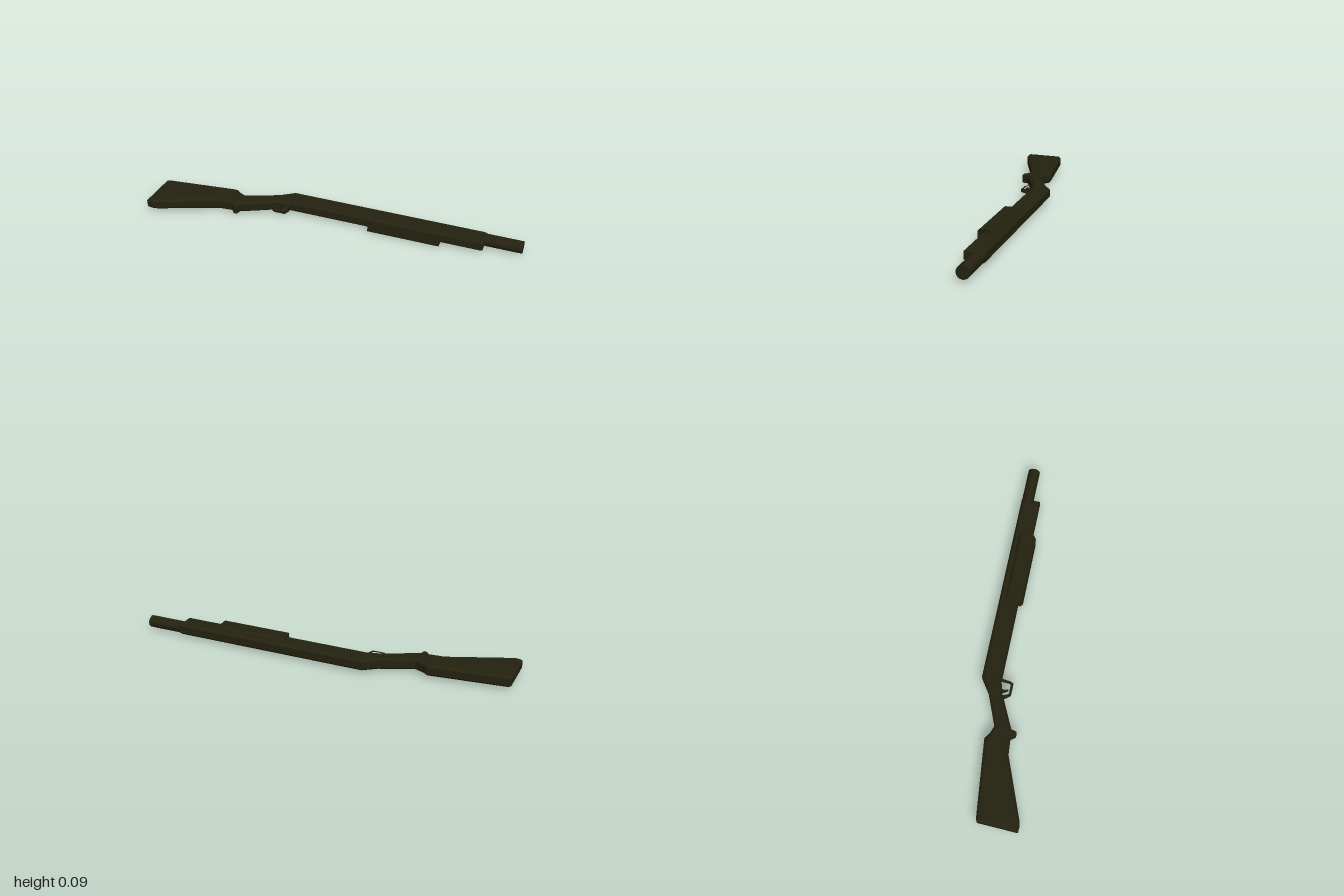
import * as THREE from 'three';

const MID = 0.0475; // height of the centre plane of the model lying on its side

export function createModel() {
  const group = new THREE.Group();
  const finish = new THREE.MeshStandardMaterial({ color: 0x24220f });
  finish.name = 'darkOlive';

  const add = (name, geometry) => {
    const mesh = new THREE.Mesh(geometry, finish);
    mesh.name = name;
    group.add(mesh);
    return mesh;
  };

  // Flat part from an [x, z] outline, with chamfered rims, centred on MID
  const plate = (name, outline, height, bevel, hole) => {
    const toPoints = (list) => list.map(([x, z]) => new THREE.Vector2(x, -z));
    const shape = new THREE.Shape(toPoints(outline));
    if (hole) shape.holes.push(new THREE.Path(toPoints(hole)));
    const geometry = new THREE.ExtrudeGeometry(shape, {
      depth: height - 2 * bevel,
      bevelEnabled: bevel > 0,
      bevelSize: bevel,
      bevelOffset: -bevel,
      bevelThickness: bevel,
      bevelSegments: 1,
    });
    geometry.rotateX(-Math.PI / 2);
    geometry.translate(0, MID - height / 2 + bevel, 0);
    return add(name, geometry);
  };

  // Stock, wrist and receiver in one outline
  plate('stockAndReceiver', [
    [-0.99, -0.04], [-0.975, -0.046], [-0.575, -0.09], [-0.545, -0.068],
    [-0.505, -0.053], [-0.335, -0.12], [-0.26, -0.17], [0.805, -0.17],
    [0.805, -0.067], [-0.26, -0.067], [-0.335, -0.045], [-0.505, 0.035],
    [-0.63, 0.045], [-0.94, 0.163], [-0.965, 0.17], [-1, 0.167],
  ], 0.063, 0.012);

  // Small spur behind the wrist
  plate('gripSpur', [
    [-0.56, 0.02], [-0.5, 0.01], [-0.505, 0.04], [-0.512, 0.064],
    [-0.532, 0.064], [-0.55, 0.04],
  ], 0.052, 0.005);

  // Trigger guard loop and trigger
  const guard = plate('triggerGuard', [
    [-0.355, -0.05], [-0.25, -0.08], [-0.253, -0.02], [-0.262, -0.004],
    [-0.325, -0.004], [-0.338, -0.02],
  ], 0.016, 0, [
    [-0.338, -0.052], [-0.268, -0.072], [-0.268, -0.022], [-0.272, -0.016],
    [-0.318, -0.016], [-0.326, -0.024],
  ]);
  // the guard widens where it meets the receiver
  const gp = guard.geometry.attributes.position;
  for (let i = 0; i < gp.count; i++) {
    const widen = 1 + Math.max(0, -0.015 - gp.getZ(i)) * 28;
    gp.setY(i, MID + (gp.getY(i) - MID) * widen);
  }
  guard.geometry.computeVertexNormals();

  plate('trigger', [
    [-0.322, -0.06], [-0.3, -0.06], [-0.303, -0.04], [-0.296, -0.022],
    [-0.304, -0.022], [-0.316, -0.042],
  ], 0.014, 0);

  // Sliding fore-end: octagonal section run along x, ends sloped underneath
  const c = 0.012, y0 = 0.002, y1 = 0.093, z0 = -0.139, z1 = -0.045;
  const section = new THREE.Shape([
    [-z0, y0 + c], [-z0, y1 - c], [-z0 - c, y1], [-z1 + c, y1],
    [-z1, y1 - c], [-z1, y0 + c], [-z1 + c, y0], [-z0 - c, y0],
  ].map(([a, b]) => new THREE.Vector2(a, b)));
  const foreEnd = new THREE.ExtrudeGeometry(section, { depth: 0.39, bevelEnabled: false });
  foreEnd.rotateY(Math.PI / 2); // depth to +x, section x to -z
  foreEnd.translate(0.19, 0, 0);
  const fp = foreEnd.attributes.position;
  for (let i = 0; i < fp.count; i++) {
    if (fp.getZ(i) > z1 - 0.001) fp.setX(i, fp.getX(i) > 0.385 ? 0.563 : 0.2);
  }
  foreEnd.computeVertexNormals();
  add('foreEnd', foreEnd);

  // Round barrel end
  const barrel = new THREE.CylinderGeometry(0.0325, 0.0325, 0.24, 16);
  barrel.rotateZ(-Math.PI / 2);
  barrel.translate(0.88, MID, -0.1375);
  add('barrel', barrel);

  return group;
}
